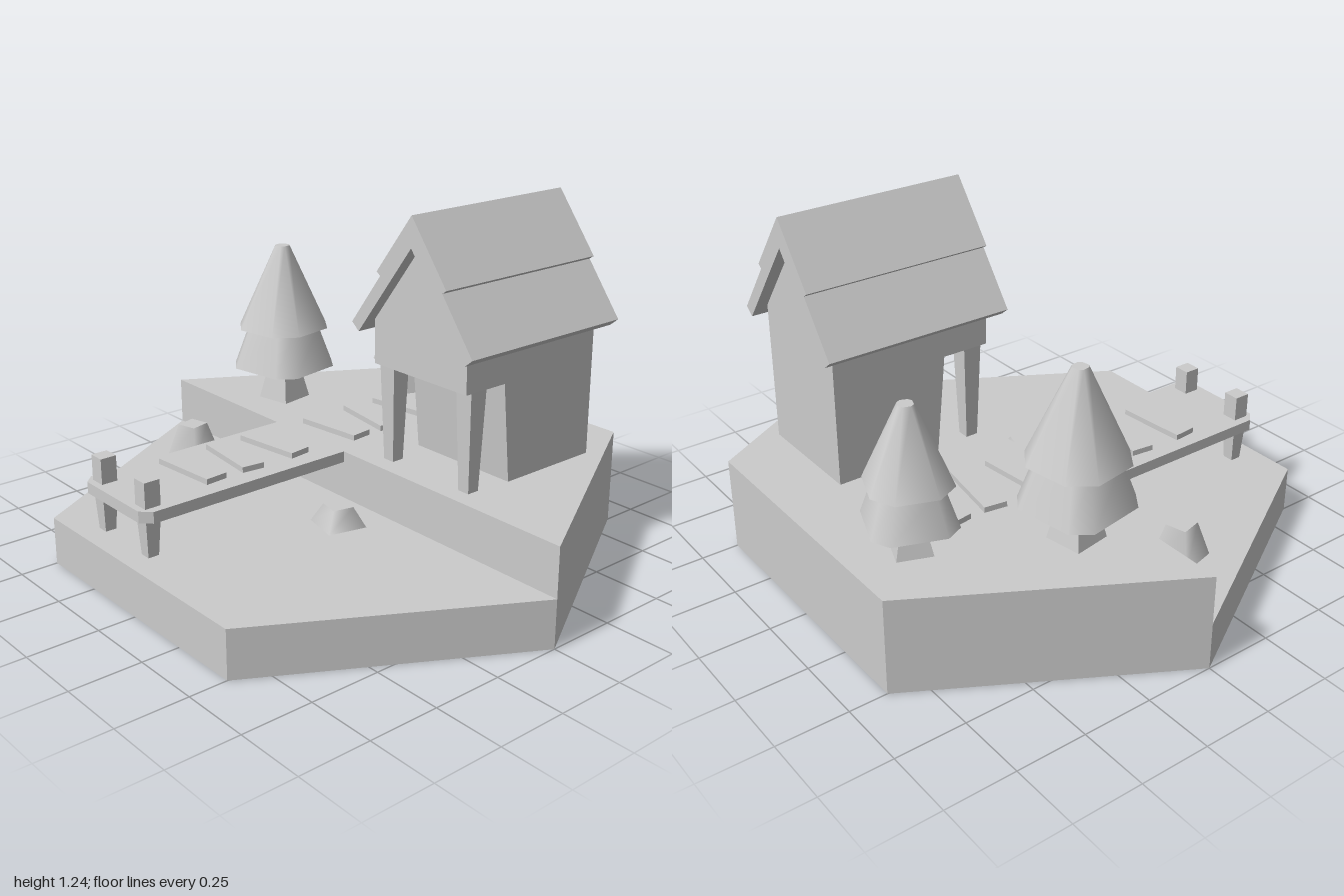
import * as THREE from 'three';

const grey = new THREE.MeshStandardMaterial({ color: 0xcccccc });
const flat = new THREE.MeshStandardMaterial({ color: 0xcccccc, flatShading: true });

export function createModel() {
  const model = new THREE.Group();

  const add = (name, geometry, x = 0, y = 0, z = 0, yaw = 0, material = flat, parent = model) => {
    const mesh = new THREE.Mesh(geometry, material);
    mesh.name = name;
    mesh.position.set(x, y, z);
    mesh.rotation.y = yaw;
    parent.add(mesh);
    return mesh;
  };
  const extrude = (points, depth) => new THREE.ExtrudeGeometry(
    new THREE.Shape(points.map(([x, y]) => new THREE.Vector2(x, y))), { depth, bevelEnabled: false });
  // Horizontal slab from [x, z] points, standing on y = 0
  const slab = (points, height) =>
    extrude(points.map(([x, z]) => [x, -z]), height).rotateX(-Math.PI / 2);
  // Bar along x from a [z, y] section
  const bar = (points, length) =>
    extrude(points.map(([z, y]) => [-z, y]), length).rotateY(Math.PI / 2);
  // Square tapered block standing on y = 0, given bottom and top widths
  const taper = (bottom, top, height) =>
    new THREE.CylinderGeometry(top * Math.SQRT1_2, bottom * Math.SQRT1_2, height, 4)
      .rotateY(Math.PI / 4).translate(0, height / 2, 0);
  // Eight-sided cone whose corners are pulled together into a chamfered square
  const tier = (top, bottom, height, pull) => {
    const g = new THREE.CylinderGeometry(top, bottom, height, 8)
      .rotateY(Math.PI / 8).translate(0, height / 2, 0);
    const p = g.attributes.position;
    for (let i = 0; i < p.count; i++) {
      const r = Math.hypot(p.getX(i), p.getZ(i));
      const a = Math.atan2(p.getZ(i), p.getX(i));
      const b = a + pull * Math.sin(4 * a);
      p.setX(i, r * Math.cos(b));
      p.setZ(i, r * Math.sin(b));
    }
    return g;
  };

  // Hexagonal ground: high right half, low left half
  const land = 0.345, low = 0.17, w = 0.866;
  add('highGround', slab([[0, 1], [w, 0.5], [w, -0.5], [0, -1]], land));
  add('lowGround', slab([[0, -1], [-w, -0.5], [-w, 0.5], [0, 1]], low));

  // Dock with chamfered outer corners and two posts
  add('dockDeck', slab([[0, 0.01], [-0.785, 0.01], [-0.82, -0.025], [-0.82, -0.335],
    [-0.785, -0.37], [0, -0.37]], 0.04), 0, 0.305, 0);
  for (const z of [-0.31, -0.05]) {
    add('dockPostTop', taper(0.058, 0.058, 0.09), -0.767, land, z);
    add('dockPostLeg', taper(0.04, 0.056, 0.14), -0.767, low, z);
  }

  // Loose planks forming the path
  for (const [x, z, yaw] of [[-0.502, -0.188, 0.08], [-0.328, -0.186, -0.11], [-0.155, -0.187, 0.13],
    [0.12, -0.176, 0.11], [0.29, -0.174, -0.15], [0.466, -0.176, 0.15]]) {
    add('plank', new THREE.BoxGeometry(0.083, 0.022, 0.256), x, land + 0.009, z, yaw);
  }

  // Rocks on the low ground
  add('rock', taper(0.14, 0.075, 0.125), -0.172, low, -0.668, 0.25, grey);
  add('rock', taper(0.14, 0.075, 0.068), -0.155, low, 0.163, -0.23, grey);

  // House: lower room with a sloping porch side, upper gabled storey, posts and roof
  const house = new THREE.Group();
  house.name = 'house';
  house.position.set(0, 0, 0.35);
  model.add(house);
  const half = 0.215, split = 0.695;
  add('lowerRoom', extrude([[0.24, land], [0.635, land], [0.635, split], [0.205, split]], half * 2),
    0, 0, -half, 0, flat, house);
  add('upperStorey', bar([[-half, split], [-half, 0.855], [0, 1.135], [half, 0.855], [half, split]], 0.605),
    0.03, 0, 0, 0, flat, house);
  for (const side of [-1, 1]) {
    add('porchPost', taper(0.045, 0.068, split - land), 0.088, land, side * 0.18, 0, flat, house);
  }
  // Stepped roof section, mirrored about the ridge
  const outer = [[0, 1.24], [0.16, 1.03], [0.143, 1.018], [0.28, 0.835], [0.247, 0.808]];
  const mirrored = outer.slice(1).reverse().map(([z, y]) => [-z, y]);
  add('roof', bar([...outer, [0, 1.135], ...mirrored], 0.695), -0.015, 0, 0, 0, flat, house);

  // Trees: tapered trunk and two foliage tiers
  const tree = (x, z, yaw, trunkW, y1, y2, y3, r) => {
    const g = new THREE.Group();
    g.name = 'tree';
    g.position.set(x, 0, z);
    g.rotation.y = yaw;
    model.add(g);
    add('trunk', taper(trunkW, trunkW * 0.62, y1 - land), 0, land, 0, 0, flat, g);
    add('lowerFoliage', tier(r * 0.7, r, y2 - y1, 0.18), 0, y1, 0, 0, grey, g);
    add('upperFoliage', tier(0.027, r * 0.9, y3 - y2, 0.09), 0, y2, 0, 0, grey, g);
  };
  tree(0.2, -0.58, 0.17, 0.135, 0.475, 0.63, 0.945, 0.19);
  tree(0.652, -0.325, -0.36, 0.12, 0.455, 0.59, 0.857, 0.165);

  return model;
}
